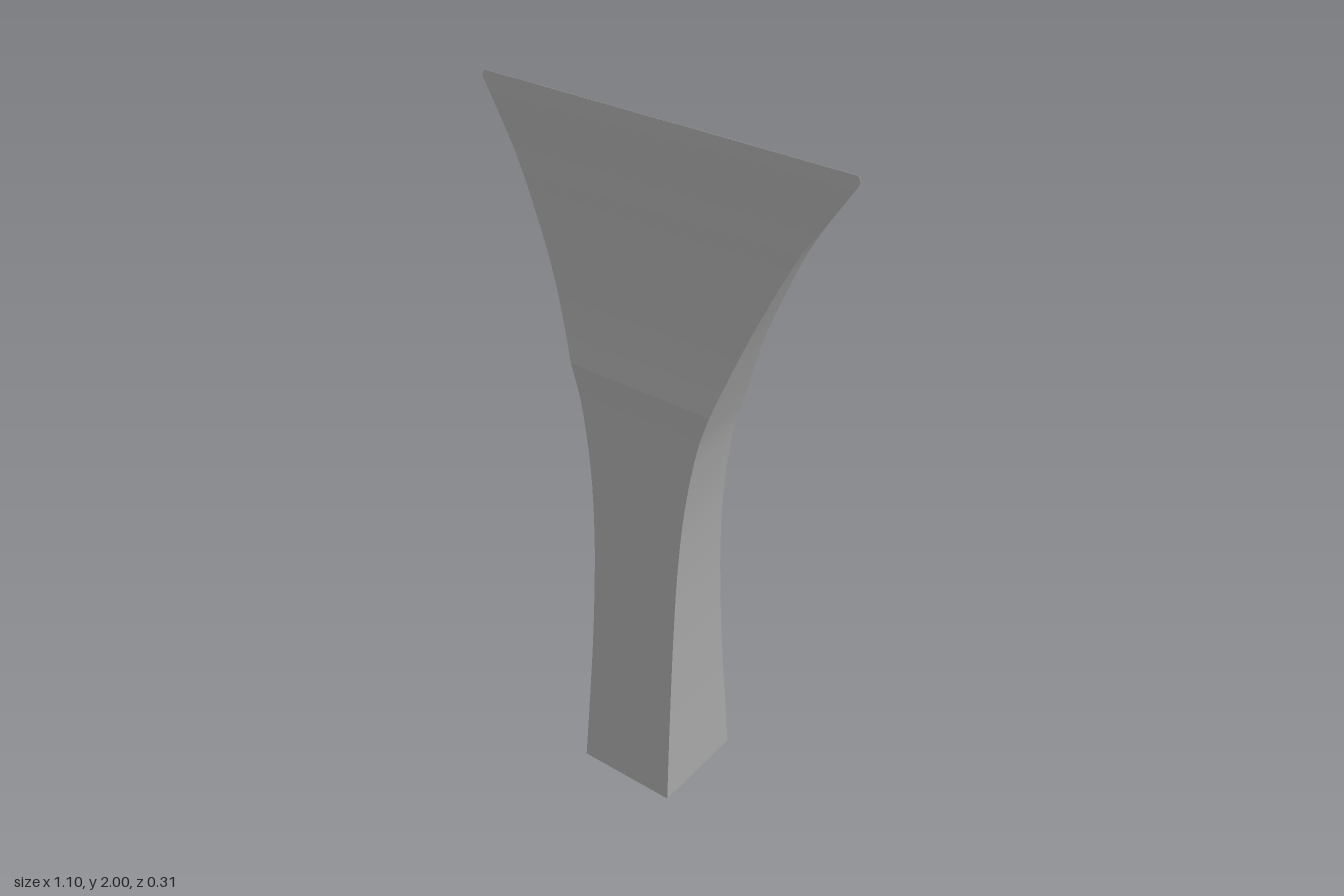
import * as THREE from 'three';

// Each station: half width (x), height (y), half depth (z)
const SHANK = [
  [0.153, 0, 0.153], [0.147, 0.2, 0.138], [0.142, 0.4, 0.123], [0.14, 0.6, 0.11],
  [0.143, 0.8, 0.099], [0.157, 1.0, 0.09], [0.19, 1.2, 0.083], [0.222, 1.305, 0.081],
];
const BLADE = [
  [0.222, 1.305, 0.081], [0.255, 1.4, 0.064], [0.292, 1.5, 0.048], [0.334, 1.6, 0.036],
  [0.43, 1.8, 0.018], [0.543, 1.975, 0.003],
];
// Small rounded corners at the ends of the cutting edge
const TIP = [[0.549, 1.985, 0.002], [0.547, 1.995, 0.001], [0.54, 2, 0.0005]];

const smooth = (stations, n) =>
  new THREE.CatmullRomCurve3(stations.map((s) => new THREE.Vector3(...s)), false, 'centripetal').getPoints(n);

// One smooth face of the tool, running up between two corners given as [sign x, sign z]
function strip(rows, a, b) {
  const pos = [], index = [];
  for (const r of rows) {
    for (const [sx, sz] of [a, b]) pos.push(sx * r.x, r.y, sz * r.z);
  }
  for (let i = 0; i < rows.length - 1; i++) {
    const k = i * 2;
    index.push(k, k + 1, k + 3, k, k + 3, k + 2);
  }
  const g = new THREE.BufferGeometry();
  g.setAttribute('position', new THREE.Float32BufferAttribute(pos, 3));
  g.setIndex(index);
  g.computeVertexNormals();
  return g;
}

export function createModel() {
  const group = new THREE.Group();
  const steel = new THREE.MeshStandardMaterial({ color: 0xa6a6a6 });
  steel.name = 'steel grey';
  const add = (geometry, name) => {
    const mesh = new THREE.Mesh(geometry, steel);
    mesh.name = name;
    group.add(mesh);
    return mesh;
  };

  const shank = smooth(SHANK, 28);
  const tip = TIP.map((s) => new THREE.Vector3(...s));
  const blade = [...smooth(BLADE, 24), ...tip];
  const edge = [...shank, ...blade.slice(1)];

  // Broad faces are creased where the shank meets the blade
  for (const [s, side] of [[1, 'front'], [-1, 'back']]) {
    add(strip(shank, [-s, s], [s, s]), side + 'ShankFace');
    add(strip(blade, [-s, s], [s, s]), side + 'BladeFace');
  }

  // Narrow flanks run unbroken from base to cutting edge
  for (const [s, side] of [[1, 'left'], [-1, 'right']]) {
    add(strip(edge, [s, s], [s, -s]), side + 'Flank');
  }

  // Square striking end and the thin top of the cutting edge
  const base = add(new THREE.PlaneGeometry(0.306, 0.306), 'base');
  base.rotation.x = Math.PI / 2;
  const top = add(new THREE.PlaneGeometry(1.08, 0.001), 'cuttingEdge');
  top.rotation.x = -Math.PI / 2;
  top.position.y = 2;

  return group;
}
